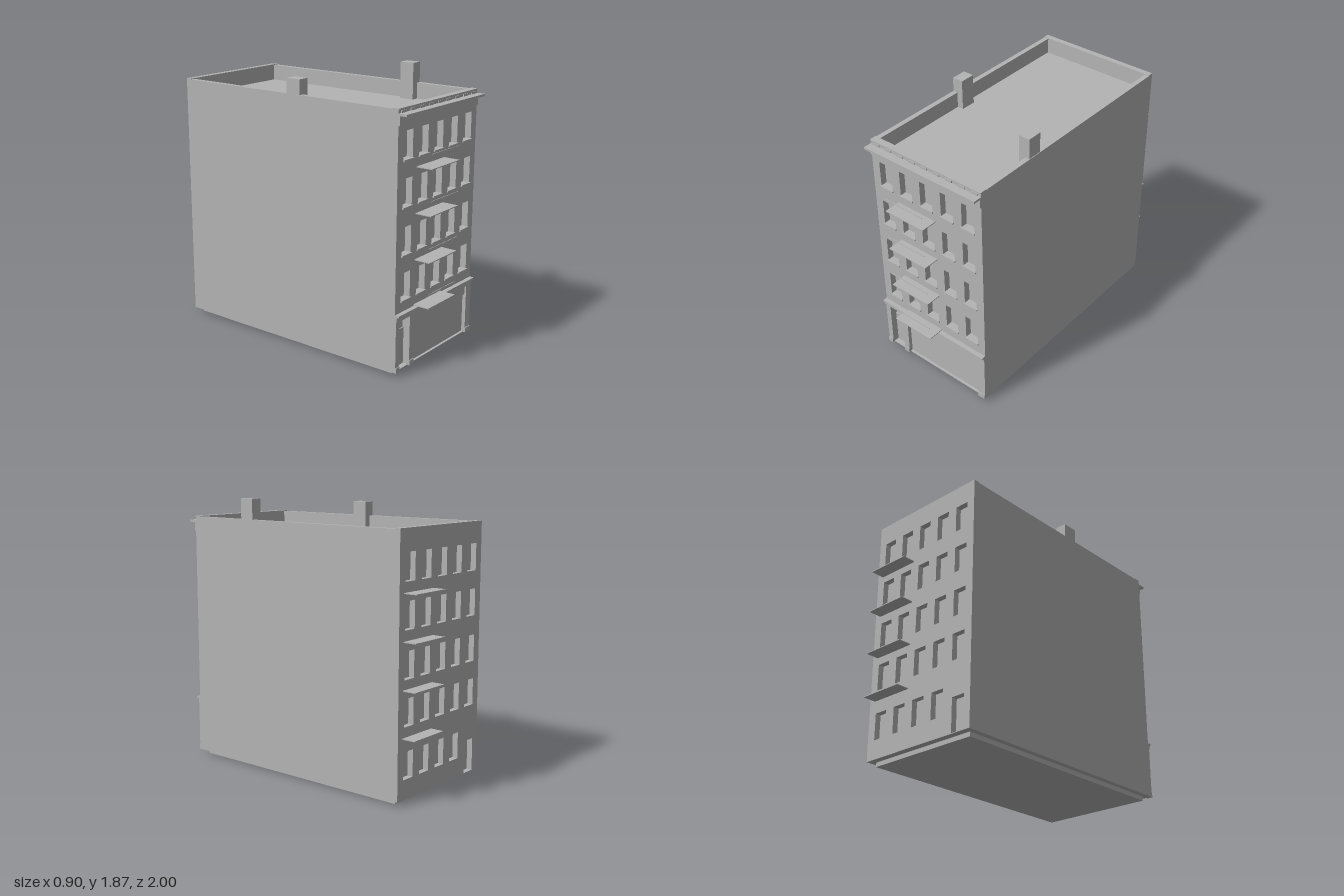
import * as THREE from 'three';

const stone = new THREE.MeshStandardMaterial({ color: 0xb4b4b4 });
stone.name = 'grey stone';

export function createModel() {
  const model = new THREE.Group();
  model.name = 'townhouse';

  // Box given by its limits on each axis
  function block(name, x0, x1, y0, y1, z0, z1, parent = model) {
    const mesh = new THREE.Mesh(new THREE.BoxGeometry(x1 - x0, y1 - y0, z1 - z0), stone);
    mesh.position.set((x0 + x1) / 2, (y0 + y1) / 2, (z0 + z1) / 2);
    mesh.name = name;
    parent.add(mesh);
    return mesh;
  }

  function rect(target, x0, x1, y0, y1) {
    target.moveTo(x0, y0);
    target.lineTo(x1, y0);
    target.lineTo(x1, y1);
    target.lineTo(x0, y1);
    target.closePath();
    return target;
  }

  // Wall with rectangular openings, holes = [x0, x1, y0, y1]
  function wall(name, holes, z0, z1) {
    const shape = rect(new THREE.Shape(), -0.45, 0.45, 0.03, 1.73);
    for (const h of holes) shape.holes.push(rect(new THREE.Path(), ...h));
    const geometry = new THREE.ExtrudeGeometry(shape, { depth: z1 - z0, bevelEnabled: false });
    const mesh = new THREE.Mesh(geometry, stone);
    mesh.position.z = z0;
    mesh.name = name;
    model.add(mesh);
  }

  const columns = [-0.34, -0.17, 0, 0.17, 0.34];
  const floors = [0.5, 0.8, 1.11, 1.41];
  const windowAt = (x, y) => [x - 0.05, x + 0.05, y, y + 0.18];
  const upperWindows = floors.flatMap((y) => columns.map((x) => windowAt(x, y)));

  // Base, main volume and side parapets
  block('base', -0.41, 0.41, 0, 0.03, -0.86, 0.84);
  block('mainVolume', -0.45, 0.45, 0.03, 1.62, -0.865, 0.84);
  for (const s of [-1, 1]) {
    const x = s * 0.4325;
    block('sideParapet', x - 0.0175, x + 0.0175, 1.62, 1.73, -0.865, 0.84);
  }

  // Front and back walls with recessed windows and doors
  wall('frontWall', [
    ...upperWindows,
    [-0.41, -0.295, 0.035, 0.375],
    [-0.25, 0.39, 0.035, 0.375],
  ], 0.84, 0.885);
  wall('backWall', [
    ...upperWindows,
    ...columns.slice(1).map((x) => windowAt(x, 0.16)),
    [-0.4, -0.3, 0.035, 0.26],
  ], -0.905, -0.865);
  block('frontCoping', -0.45, 0.45, 1.73, 1.735, 0.84, 0.889);
  block('backCoping', -0.45, 0.45, 1.73, 1.735, -0.905, -0.865);

  // Window sills
  for (const y of floors) {
    for (const x of columns) block('windowSill', x - 0.055, x + 0.055, y - 0.01, y, 0.88, 0.895);
  }

  // Shopfront: window panel, fascia, door and pilasters
  block('shopWindow', -0.25, 0.39, 0.03, 0.31, 0.84, 0.868);
  block('shopFascia', -0.25, 0.39, 0.31, 0.375, 0.84, 0.882);
  block('frontDoor', -0.41, -0.295, 0.03, 0.285, 0.84, 0.847);
  for (const [x0, x1] of [[-0.45, -0.41], [-0.295, -0.25], [0.39, 0.45]]) {
    block('pilaster', x0, x1, 0.03, 0.375, 0.88, 0.895);
    block('pilasterFoot', x0, x1, 0.03, 0.065, 0.88, 0.901);
  }
  block('shopFrieze', -0.45, 0.45, 0.375, 0.41, 0.88, 0.9);
  block('shopCornice', -0.45, 0.45, 0.41, 0.423, 0.88, 0.917);

  // Roof cornice with small dentils
  block('roofFrieze', -0.45, 0.45, 1.63, 1.69, 0.88, 0.895);
  block('roofCornice', -0.45, 0.45, 1.69, 1.705, 0.88, 0.945);
  for (let i = 0; i < 9; i++) {
    const x = -0.4 + i * 0.1;
    block('dentil', x - 0.025, x + 0.025, 1.705, 1.72, 0.88, 0.89);
  }

  // Balconies on both faces, with a slim rail in front
  for (const y of [0.43, 0.735, 1.04, 1.34]) {
    block('frontBalcony', -0.245, 0.07, y - 0.003, y + 0.003, 0.88, 1);
    block('frontBalconyRail', -0.245, 0.07, y + 0.093, y + 0.098, 0.996, 1);
    block('backBalcony', 0.095, 0.405, y - 0.003, y + 0.003, -1, -0.9);
  }

  // Chimneys
  block('leftChimney', 0.365, 0.446, 1.6, 1.87, 0.33, 0.435);
  block('rightChimney', -0.449, -0.37, 1.6, 1.83, 0.01, 0.12);

  return model;
}
